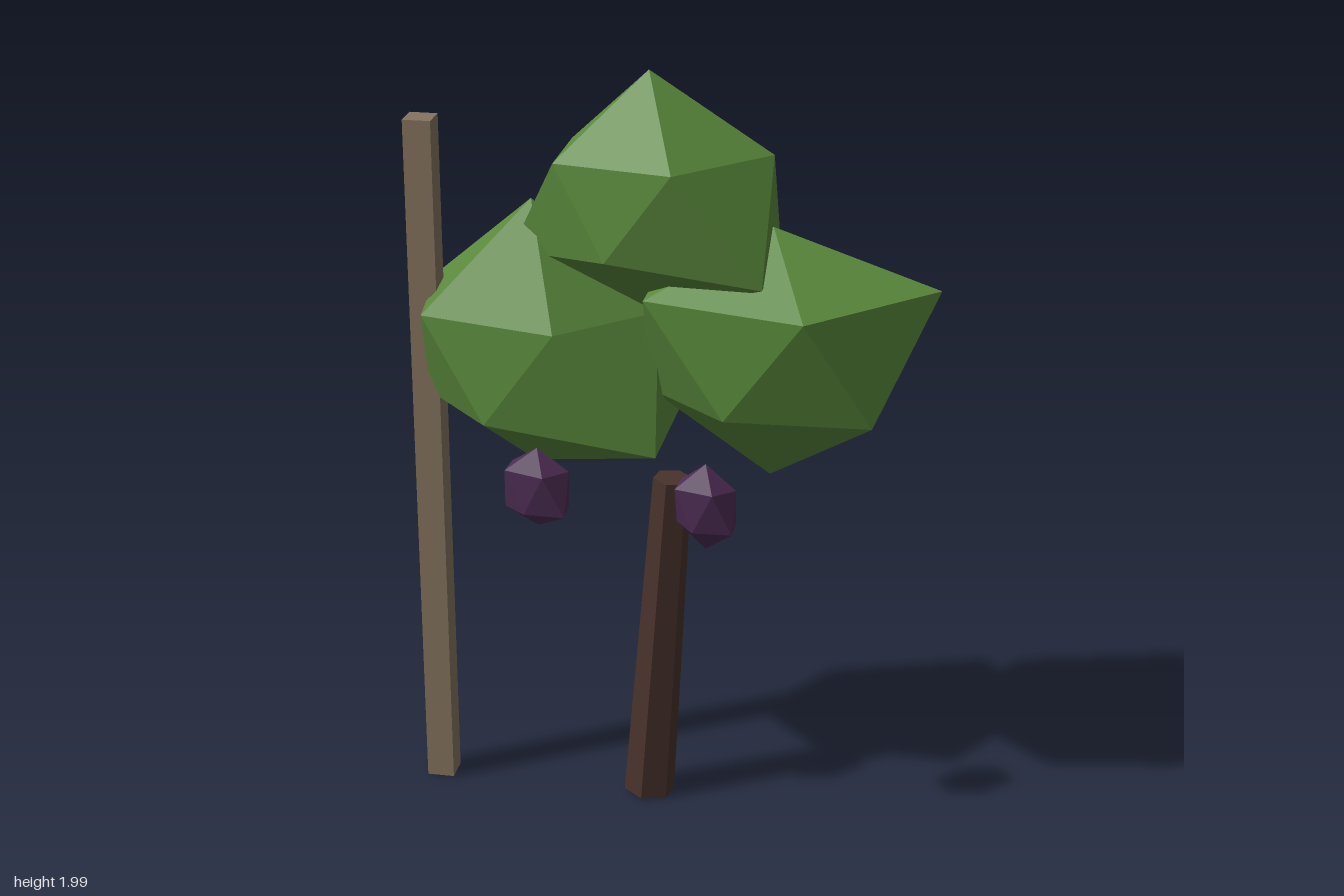
import * as THREE from 'three';

const mat = (name, color) => {
  const m = new THREE.MeshStandardMaterial({ color, flatShading: true });
  m.name = name;
  return m;
};

// Irregular 12-point faceted blob: a pole at each end and two staggered rings of five.
// push = how far each point is moved out or in: top, upper ring, lower ring, bottom.
function blobGeometry(radii, push) {
  const points = [new THREE.Vector3(0, 1, 0)];
  for (const [y, turn] of [[1, 0], [-1, 0.5]]) {
    for (let j = 0; j < 5; j++) {
      const a = (j + turn) * Math.PI * 2 / 5;
      points.push(new THREE.Vector3(2 * Math.cos(a), y, 2 * Math.sin(a)).normalize());
    }
  }
  points.push(new THREE.Vector3(0, -1, 0));
  points.forEach((p, i) => p.multiplyScalar(push[i]).multiply(new THREE.Vector3(...radii)));

  const index = [];
  for (let j = 0; j < 5; j++) {
    const k = (j + 1) % 5;
    const u = 1 + j, u2 = 1 + k, l = 6 + j, l2 = 6 + k;
    index.push(0, u2, u, u, u2, l, l, u2, l2, 11, l, l2);
  }
  const indexed = new THREE.BufferGeometry().setFromPoints(points);
  indexed.setIndex(index);
  const g = indexed.toNonIndexed();
  g.computeVertexNormals();
  return g;
}

export function createModel() {
  const group = new THREE.Group();
  const leaf = mat('leaf green', 0x5a893c);
  const bark = mat('bark brown', 0x4a332c);
  const fruit = mat('fruit purple', 0x4d2c53);
  const wood = mat('stake wood', 0x85745f);

  const add = (name, geometry, material, position) => {
    const mesh = new THREE.Mesh(geometry, material);
    mesh.name = name;
    mesh.position.set(...position);
    group.add(mesh);
    return mesh;
  };

  // Foliage clumps
  add('foliageTop', blobGeometry([0.35, 0.3, 0.25],
    [1.1, 0.99, 0.93, 0.86, 0.86, 1.14, 1.21, 0.83, 1.13, 1.24, 1.21, 0.95]), leaf, [-0.06, 1.67, 0]);
  add('foliageRight', blobGeometry([0.36, 0.31, 0.25],
    [1.35, 1, 0.96, 0.99, 1.11, 1.32, 1.33, 0.89, 0.86, 0.95, 1.33, 0.93]), leaf, [-0.36, 1.24, 0]);
  add('foliageLeft', blobGeometry([0.39, 0.335, 0.265],
    [0.955, 1.2, 1, 1.06, 1.06, 1.03, 0.96, 0.85, 0.88, 0.95, 0.96, 1.015]), leaf, [0.25, 1.3, 0]);

  // Hanging fruit
  const fruitRadii = [0.09, 0.115, 0.062];
  add('fruitRight', blobGeometry(fruitRadii,
    [0.96, 1, 0.95, 1.15, 1.1, 0.95, 1.15, 1, 1.05, 0.95, 1.1, 0.87]), fruit, [-0.305, 0.97, 0.22]);
  add('fruitLeft', blobGeometry(fruitRadii,
    [1, 0.95, 1, 1.1, 1.05, 0.95, 1.1, 1, 0.9, 0.95, 1.1, 1]), fruit, [0.122, 0.955, 0.22]);

  // Leaning, tapered six-sided trunk
  const trunk = add('trunk', new THREE.CylinderGeometry(0.051, 0.068, 0.92, 6), bark, [-0.034, 0.47, 0]);
  trunk.rotation.set(0, -0.15, -0.069, 'ZYX');

  // Upright support stake
  add('stake', new THREE.BoxGeometry(0.072, 1.845, 0.072), wood, [-0.638, 0.93, 0]);

  return group;
}
